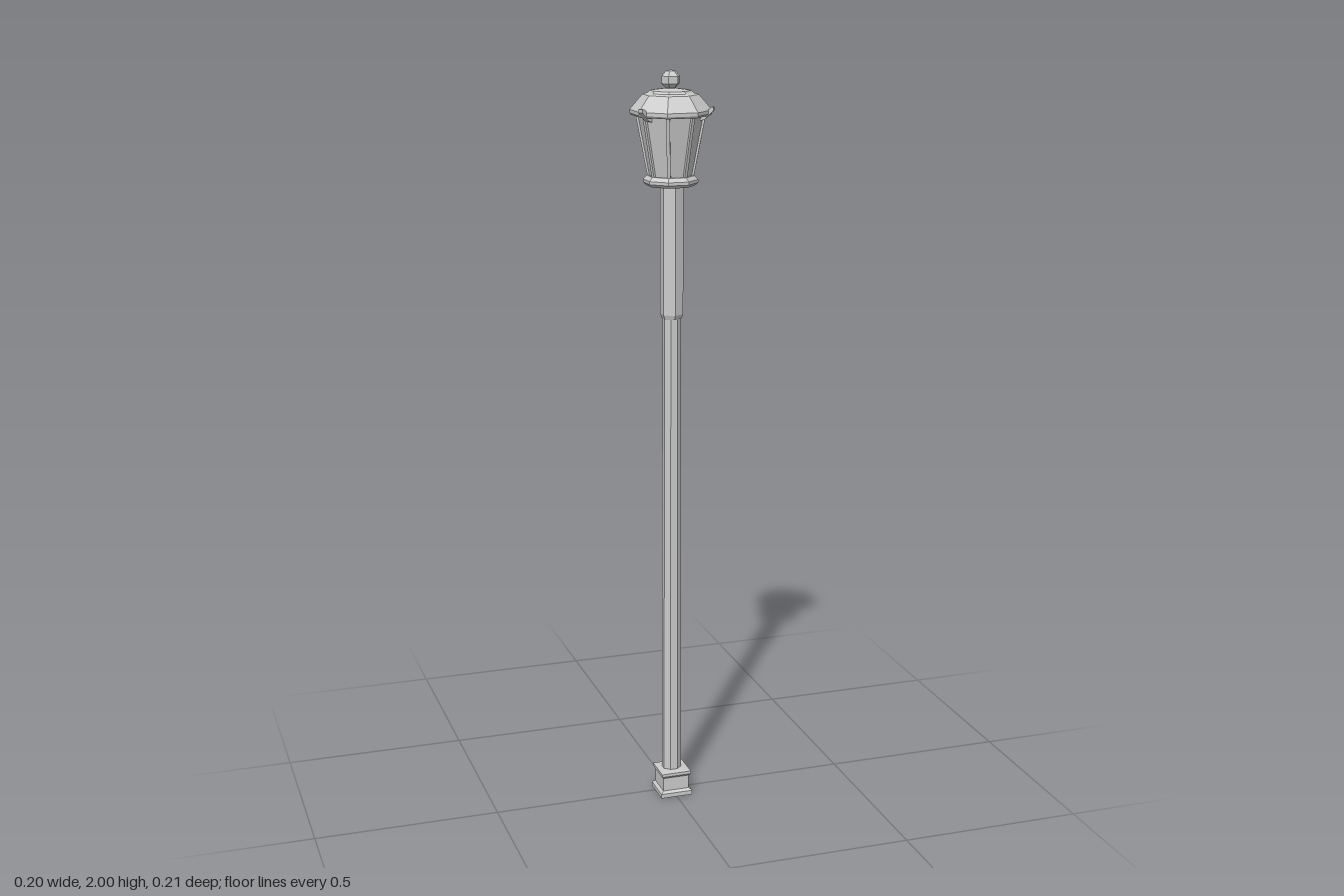
import * as THREE from 'three';

const material = new THREE.MeshStandardMaterial({ color: 0xcccccc, flatShading: true });
const AXIS_Z = 0.008;

function add(parent, name, geometry) {
  const mesh = new THREE.Mesh(geometry, material);
  mesh.name = name;
  parent.add(mesh);
  return mesh;
}

// Closed prism-like solid from [apothem, y] rings, with a flat side facing front
function faceted(sides, rings, start = Math.PI / sides) {
  const k = 1 / Math.cos(Math.PI / sides);
  const points = rings.map(([a, y]) => new THREE.Vector2(a * k, y));
  return new THREE.LatheGeometry(points, sides, start);
}

export function createModel() {
  const model = new THREE.Group();
  model.name = 'streetLamp';

  // Square stepped plinth
  const base = add(model, 'base', faceted(4, [
    [0, 0], [0.045, 0], [0.045, 0.012], [0.037, 0.018],
    [0.037, 0.056], [0.042, 0.062], [0.042, 0.07], [0, 0.074],
  ]));
  base.position.z = 0.014;

  // Slender octagonal pole
  const pole = add(model, 'pole', faceted(8, [[0.025, 0.07], [0.022, 1.37]]));
  pole.position.z = 0.009;

  // Thicker hexagonal sleeve, one corner to the front
  const sleeve = add(model, 'upperSleeve', faceted(6, [
    [0, 1.355], [0.023, 1.355], [0.027, 1.367], [0.027, 1.712], [0, 1.712],
  ], 0));
  sleeve.position.z = 0.01;

  const lantern = new THREE.Group();
  lantern.name = 'lantern';
  lantern.position.set(-0.002, 0, AXIS_Z);
  model.add(lantern);

  // Flared collar under the glass
  add(lantern, 'lanternCollar', faceted(8, [
    [0, 1.705], [0.058, 1.705], [0.066, 1.713], [0.066, 1.721], [0.057, 1.731], [0, 1.731],
  ]));

  // Tapered glass body
  add(lantern, 'glass', faceted(8, [[0.051, 1.725], [0.08, 1.89]]));

  // Corner bars following the slope of the glass
  for (let i = 0; i < 8; i++) {
    const angle = (i + 0.5) * Math.PI / 4;
    const dir = new THREE.Vector3(Math.sin(angle), 0, Math.cos(angle));
    const low = dir.clone().multiplyScalar(0.0555).setY(1.725);
    const high = dir.clone().multiplyScalar(0.0875).setY(1.89);
    const bar = add(lantern, 'cornerBar', new THREE.BoxGeometry(0.009, 0.007, low.distanceTo(high)));
    bar.position.copy(low).lerp(high, 0.5);
    bar.lookAt(high.x, high.y, high.z + AXIS_Z);
    bar.quaternion.setFromRotationMatrix(new THREE.Matrix4().lookAt(high, low, dir));
  }

  // Stepped octagonal roof
  add(lantern, 'roof', faceted(8, [
    [0, 1.885], [0.094, 1.885], [0.098, 1.89], [0.098, 1.899],
    [0.067, 1.938], [0.055, 1.942], [0.05, 1.948], [0, 1.955],
  ]));

  // Hexagonal finial
  add(lantern, 'finial', faceted(6, [
    [0, 1.948], [0.012, 1.948], [0.012, 1.955], [0.021, 1.965],
    [0.021, 1.984], [0.011, 1.997], [0, 2],
  ], Math.PI / 2));

  // Three hooked clips around the roof edge
  const profile = new THREE.Shape([
    [0.078, 1.873], [0.091, 1.877], [0.113, 1.899], [0.113, 1.908],
    [0.107, 1.908], [0.09, 1.894], [0.078, 1.892],
  ].map(([x, y]) => new THREE.Vector2(x, y)));
  const clipGeometry = new THREE.ExtrudeGeometry(profile, { depth: 0.014, bevelEnabled: false });
  clipGeometry.translate(0, 0, -0.007);
  for (let i = 0; i < 3; i++) {
    const clip = add(lantern, 'roofClip', clipGeometry);
    clip.rotation.y = Math.PI / 2 + i * Math.PI * 2 / 3;
  }

  return model;
}
